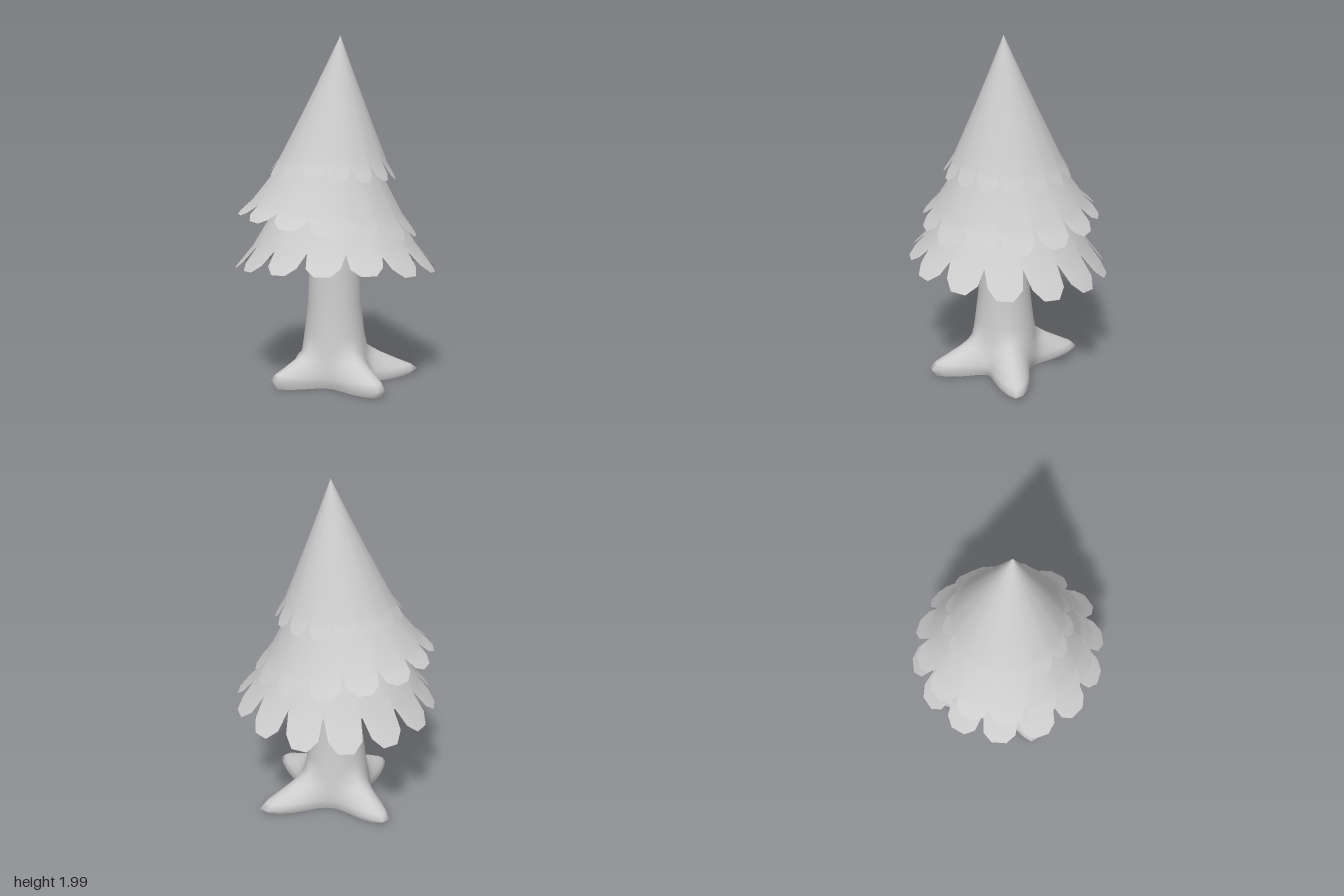
import * as THREE from 'three';

const material = new THREE.MeshStandardMaterial({ color: 0xcccccc, side: THREE.DoubleSide });

// Smooth surface from rings of points; each ring closes on itself.
function skin(name, rings) {
  const n = rings[0].length, index = [];
  for (let r = 0; r < rings.length - 1; r++) {
    for (let i = 0; i < n; i++) {
      const j = (i + 1) % n;
      const a = r * n + i, b = r * n + j, c = a + n, d = b + n;
      index.push(a, c, b, b, c, d);
    }
  }
  const geometry = new THREE.BufferGeometry().setFromPoints(rings.flat());
  geometry.setIndex(index);
  geometry.computeVertexNormals();
  const mesh = new THREE.Mesh(geometry, material);
  mesh.name = name;
  return mesh;
}

// Repeatable variation in -1..1
const vary = (i, seed) => Math.sin(i * 12.9 + seed * 7.3);

// Cone of foliage whose rim is cut into rounded flaps.
// profile: [radius, y] from the top down to the notches; tip: [radius, y] of the flap ends.
function foliageTier({ name, profile, tip, flaps, turn, top, base, tilt, seed }) {
  const across = [0, 0.11, 0.33, 0.67, 0.89], drop = [0, 0.65, 1, 1, 0.65];
  const notch = profile[profile.length - 1];
  const columns = [];
  for (let f = 0; f < flaps; f++) {
    across.forEach((s, k) => {
      const length = k ? drop[k] * (1 + 0.1 * vary(f, seed)) : 0.2 * vary(f, seed + 1);
      const wander = k ? 0 : 0.06 * vary(f, seed + 2);
      columns.push({ angle: turn + (f + s + wander) / flaps * Math.PI * 2, length });
    });
  }
  const [yTop, yTip] = [profile[0][1], tip[1]];
  const place = (radius, y, angle) => {
    const t = (yTop - y) / (yTop - yTip);
    const x = radius * Math.sin(angle), z = radius * Math.cos(angle);
    return new THREE.Vector3(
      x + THREE.MathUtils.lerp(top[0], base[0], t),
      y + t * (tilt[0] * x + tilt[1] * z),
      z + THREE.MathUtils.lerp(top[1], base[1], t));
  };
  const rings = profile.slice(0, -1).map(([r, y]) => columns.map(c => place(r, y, c.angle)));
  for (const part of [0, 0.5, 1]) {
    rings.push(columns.map(({ angle, length }) => {
      const t = part * length;
      return place(THREE.MathUtils.lerp(notch[0], tip[0], t), THREE.MathUtils.lerp(notch[1], tip[1], t), angle);
    }));
  }
  return skin(name, rings);
}

// Trunk that spreads into four tapering roots, open beneath; rows are [y, radius, root reach].
function trunkWithRoots() {
  const roots = [
    { angle: 0.05, reach: 1.02, lift: 0.03 },
    { angle: 1.33, reach: 1.12, lift: 0 },
    { angle: 3.1, reach: 0.97, lift: 0 },
    { angle: 4.75, reach: 0.8, lift: 0.035 },
  ];
  const rows = [
    [1.0, 0.13, 0], [0.72, 0.147, 0], [0.48, 0.153, 0], [0.3, 0.174, 0], [0.21, 0.185, 0.01],
    [0.16, 0.19, 0.08], [0.11, 0.195, 0.17], [0.07, 0.195, 0.25], [0.04, 0.19, 0.29],
    [0.012, 0.18, 0.27],
  ];
  const sides = 72;
  const rings = rows.map(([y, radius, reach]) => Array.from({ length: sides }, (_, i) => {
    const angle = i / sides * Math.PI * 2;
    let spread = 0, lift = 0;
    for (const root of roots) {
      const away = Math.atan2(Math.sin(angle - root.angle), Math.cos(angle - root.angle));
      const weight = Math.exp(-((Math.abs(away) / 0.34) ** 1.6));
      spread += weight * root.reach;
      lift += weight * root.lift;
    }
    const r = radius + reach * spread;
    const raise = lift * reach / 0.29 * Math.min(1, y / 0.05);
    return new THREE.Vector3(r * Math.sin(angle) - 0.01, y + raise, r * Math.cos(angle) + 0.015);
  }));
  return skin('trunkAndRoots', rings);
}

export function createModel() {
  const tree = new THREE.Group();
  tree.name = 'tree';
  tree.add(trunkWithRoots());
  tree.add(foliageTier({
    name: 'lowerFoliage', flaps: 14, turn: 0.03, seed: 1,
    profile: [[0.2, 1.25], [0.33, 1.04], [0.41, 0.91], [0.47, 0.81]], tip: [0.578, 0.68],
    top: [0, 0], base: [0, 0], tilt: [-0.03, 0.07],
  }));
  tree.add(foliageTier({
    name: 'middleFoliage', flaps: 14, turn: 0.15, seed: 2,
    profile: [[0.1, 1.65], [0.275, 1.28], [0.36, 1.14], [0.43, 1.03]], tip: [0.515, 0.94],
    top: [0, 0], base: [-0.035, -0.035], tilt: [-0.09, -0.06],
  }));
  tree.add(foliageTier({
    name: 'upperFoliage', flaps: 15, turn: 0.2, seed: 3,
    profile: [[0, 2], [0.085, 1.8], [0.172, 1.6], [0.253, 1.42], [0.307, 1.3]], tip: [0.365, 1.21],
    top: [0.02, 0.03], base: [-0.01, -0.01], tilt: [-0.05, 0.01],
  }));
  return tree;
}
